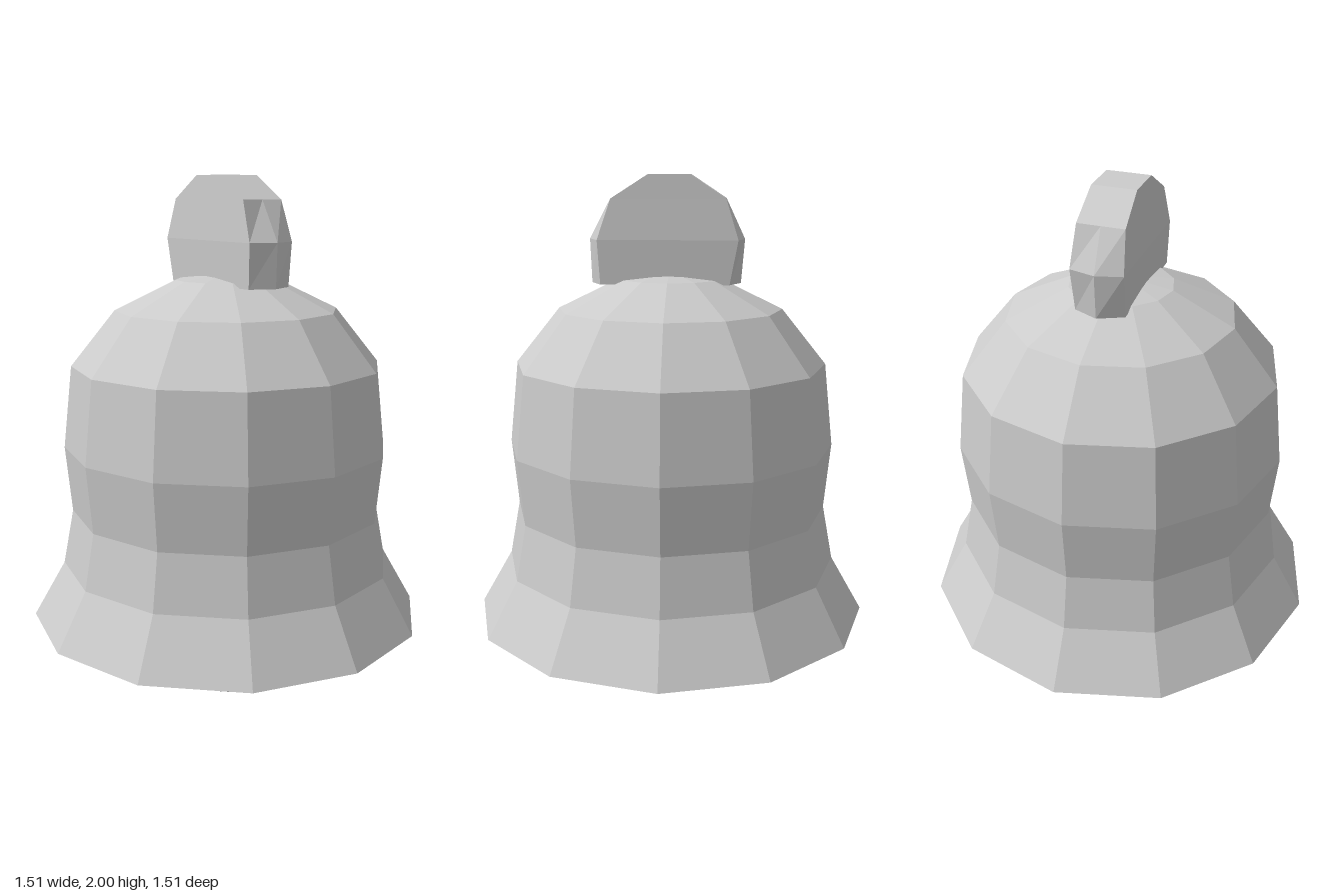
import * as THREE from 'three';

const material = new THREE.MeshStandardMaterial({ color: 0xcccccc, flatShading: true });

// Twelve-sided turned part from a bottom-to-top profile of [radius, height]
function turned(name, profile) {
  const points = profile.map(([r, y]) => new THREE.Vector2(r, y));
  const mesh = new THREE.Mesh(new THREE.LatheGeometry(points, 12), material);
  mesh.name = name;
  return mesh;
}

// Solid handle lofted through six-cornered levels:
// [y, half depth, left-side corner x, left-side ridge x, right-side corner x, right-side ridge x]
function handleGeometry() {
  const levels = [
    [1.61, 0.09, 0.25, 0.29, -0.22, -0.262],
    [1.77, 0.095, 0.26, 0.296, -0.25, -0.275],
    [1.915, 0.085, 0.21, 0.21, -0.205, -0.205],
    [2.0, 0.08, 0.075, 0.075, -0.075, -0.075],
  ];
  const positions = [];
  const index = [];
  for (const [y, d, a, ra, b, rb] of levels) {
    positions.push(ra, y, 0, a, y, d, b, y, d, rb, y, 0, b, y, -d, a, y, -d);
  }
  for (let k = 0; k < levels.length - 1; k++) {
    for (let i = 0; i < 6; i++) {
      const p = k * 6 + i;
      const q = k * 6 + ((i + 1) % 6);
      index.push(p, p + 6, q, q, p + 6, q + 6);
    }
  }
  // Bottom and top caps
  const top = (levels.length - 1) * 6;
  for (let i = 1; i < 5; i++) {
    index.push(0, i, i + 1);
    index.push(top, top + i + 1, top + i);
  }
  const geometry = new THREE.BufferGeometry();
  geometry.setAttribute('position', new THREE.Float32BufferAttribute(positions, 3));
  geometry.setIndex(index);
  // Loops run clockwise seen from above, so every face is wound outwards
  const flat = geometry.toNonIndexed();
  flat.computeVertexNormals();
  return flat;
}

export function createModel() {
  const model = new THREE.Group();
  model.name = 'bell';

  // Bell body, with its shallow closed underside
  model.add(turned('bellBody', [
    [0.31, 0.285], [0.755, 0.33], [0.635, 0.54], [0.595, 0.75], [0.618, 1.0],
    [0.583, 1.31], [0.417, 1.515], [0.19, 1.625], [0, 1.655],
  ]));

  // Clapper
  model.add(turned('clapper', [
    [0, 0], [0.105, 0], [0.27, 0.13], [0.31, 0.285],
  ]));

  // Handle
  const handle = new THREE.Mesh(handleGeometry(), material);
  handle.name = 'handle';
  model.add(handle);

  return model;
}
